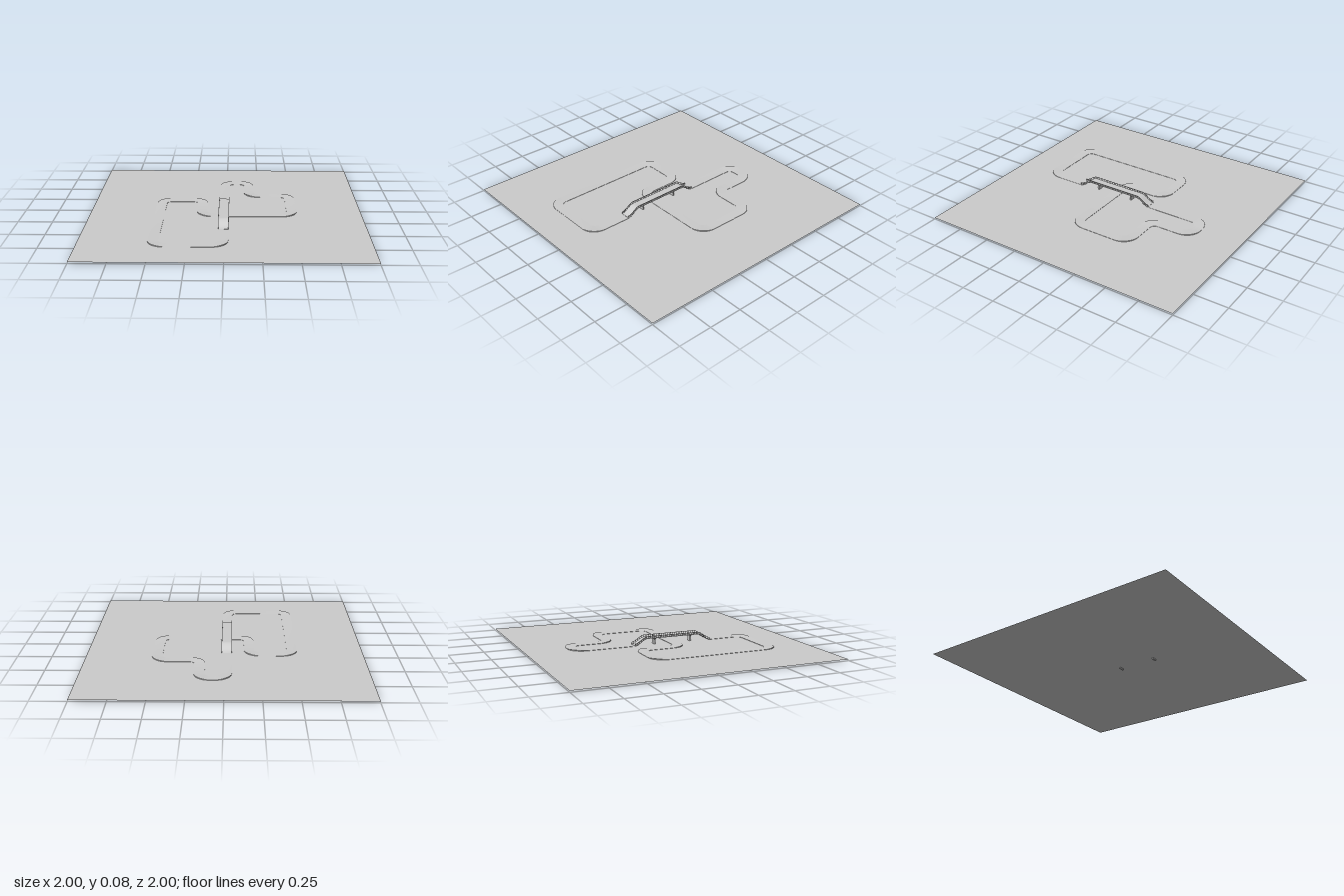
import * as THREE from 'three';
import { toCreasedNormals } from 'three/addons/utils/BufferGeometryUtils.js';

const HALF = 0.0375;          // half road width
const RADIUS = 0.075;         // centre line radius of the corners
const GROUND = 0.01, ROAD = 0.0122, BANK = 0.005, DECK = 0.061;
const BRIDGE_X = -0.0125, BRIDGE_START = 0.41, BRIDGE_END = -0.2, RAMP = 0.1;

const material = new THREE.MeshStandardMaterial({ color: 0xcccccc });
const twoSided = new THREE.MeshStandardMaterial({ color: 0xcccccc, side: THREE.DoubleSide });

function add(parent, name, geometry, mat = material) {
  const mesh = new THREE.Mesh(geometry, mat);
  mesh.name = name;
  parent.add(mesh);
  return mesh;
}

// Joins four-cornered sections (bottom left, top left, top right, bottom right) into a closed bar
function sweep(sections) {
  const index = [];
  const last = (sections.length - 1) * 4;
  for (let i = 0; i < last; i += 4) {
    for (let k = 0; k < 4; k++) {
      const a = i + k, b = i + (k + 1) % 4;
      index.push(a, b, b + 4, a, b + 4, a + 4);
    }
  }
  index.push(0, 2, 1, 0, 3, 2, last, last + 1, last + 2, last, last + 2, last + 3);
  const geometry = new THREE.BufferGeometry();
  geometry.setAttribute('position', new THREE.Float32BufferAttribute(sections.flat(2), 3));
  geometry.setIndex(index);
  return toCreasedNormals(geometry, 0.6);
}

// Section of road at a centre point, with separate heights for its two edges
function roadSection(x, z, dx, dz, yLeft, yRight) {
  const sx = -dz * HALF, sz = dx * HALF;
  return [
    [x - sx, GROUND, z - sz], [x - sx, yLeft, z - sz],
    [x + sx, yRight, z + sz], [x + sx, GROUND, z + sz],
  ];
}

// Ground-level circuit: straights joined by quarter turns banked on their outer side
function roadGeometry() {
  const stops = [
    [BRIDGE_X, BRIDGE_END], [BRIDGE_X, -0.645], [0.175, -0.645], [0.175, -0.325],
    [0.4875, -0.325], [0.4875, 0.1125], [-0.175, 0.1125], [-0.175, -0.2125],
    [-0.4875, -0.2125], [-0.4875, 0.7025], [BRIDGE_X, 0.7025], [BRIDGE_X, BRIDGE_START],
  ].map(([x, z]) => new THREE.Vector2(x, z));
  const heading = (i) => stops[i + 1].clone().sub(stops[i]).normalize();
  const first = heading(0);
  const sections = [roadSection(stops[0].x, stops[0].y, first.x, first.y, ROAD, ROAD)];
  const steps = 16;
  for (let i = 1; i < stops.length - 1; i++) {
    const from = heading(i - 1), to = heading(i);
    const rightTurn = from.cross(to) > 0;
    const centre = stops[i].clone().addScaledVector(from, -RADIUS).addScaledVector(to, RADIUS);
    for (let s = 0; s <= steps; s++) {
      const angle = (s / steps) * Math.PI / 2;
      const c = Math.cos(angle), n = Math.sin(angle);
      const x = centre.x + RADIUS * (from.x * n - to.x * c);
      const z = centre.y + RADIUS * (from.y * n - to.y * c);
      const raised = ROAD + BANK * Math.sin(2 * angle);
      sections.push(roadSection(x, z, from.x * c + to.x * n, from.y * c + to.y * n,
        rightTurn ? raised : ROAD, rightTurn ? ROAD : raised));
    }
  }
  const end = stops[stops.length - 1], d = heading(stops.length - 2);
  sections.push(roadSection(end.x, end.y, d.x, d.y, ROAD, ROAD));
  return sweep(sections);
}

// Height of the bridge surface: an eased ramp at each end of a level span
function deckHeight(z) {
  const t = Math.min(BRIDGE_START - z, z - BRIDGE_END) / RAMP;
  return THREE.MathUtils.lerp(ROAD + 0.002, DECK, THREE.MathUtils.smoothstep(t, 0, 1));
}

// Bar following the bridge surface, between two x positions and two height offsets
function bridgeBar(x0, x1, low, high) {
  const sections = [];
  const count = 61;
  for (let i = 0; i <= count; i++) {
    const z = THREE.MathUtils.lerp(BRIDGE_START, BRIDGE_END, i / count);
    const y = deckHeight(z);
    sections.push([[x0, y + low, z], [x0, y + high, z], [x1, y + high, z], [x1, y + low, z]]);
  }
  return sweep(sections);
}

function createBridge() {
  const bridge = new THREE.Group();
  bridge.name = 'bridge';
  add(bridge, 'bridgeDeck', bridgeBar(BRIDGE_X - HALF, BRIDGE_X + HALF, -0.003, 0));

  // Guard rails with closely spaced posts
  const postGeometry = new THREE.BoxGeometry(0.003, 0.014, 0.003);
  for (const side of [-1, 1]) {
    const x = BRIDGE_X + side * (HALF - 0.0015);
    const name = side > 0 ? 'left' : 'right';
    add(bridge, name + 'GuardRail', bridgeBar(x - 0.002, x + 0.002, 0.012, 0.0155));
    const posts = new THREE.Group();
    posts.name = name + 'RailPosts';
    bridge.add(posts);
    const count = 40;
    for (let i = 0; i <= count; i++) {
      const z = THREE.MathUtils.lerp(BRIDGE_START - 0.003, BRIDGE_END + 0.003, i / count);
      add(posts, 'railPost', postGeometry).position.set(x, deckHeight(z) + 0.006, z);
    }
  }

  // Piers with a flared head under the deck
  for (const z of [0.255, -0.035]) {
    const pier = new THREE.Group();
    pier.name = 'pier';
    pier.position.set(BRIDGE_X, 0, z);
    bridge.add(pier);
    add(pier, 'pierColumn', new THREE.BoxGeometry(0.038, 0.046, 0.011)).position.y = 0.023;
    const head = new THREE.CylinderGeometry(Math.SQRT1_2, Math.SQRT1_2 * 0.62, 0.013, 4, 1)
      .rotateY(Math.PI / 4).scale(0.06, 1, 0.019).toNonIndexed();
    head.computeVertexNormals();
    add(pier, 'pierHead', head).position.y = 0.0525;
  }
  return bridge;
}

export function createModel() {
  const model = new THREE.Group();
  model.name = 'raceTrack';
  const ground = new THREE.PlaneGeometry(2, 2).rotateX(-Math.PI / 2);
  add(model, 'ground', ground, twoSided).position.y = GROUND;
  add(model, 'road', roadGeometry());
  model.add(createBridge());
  return model;
}
